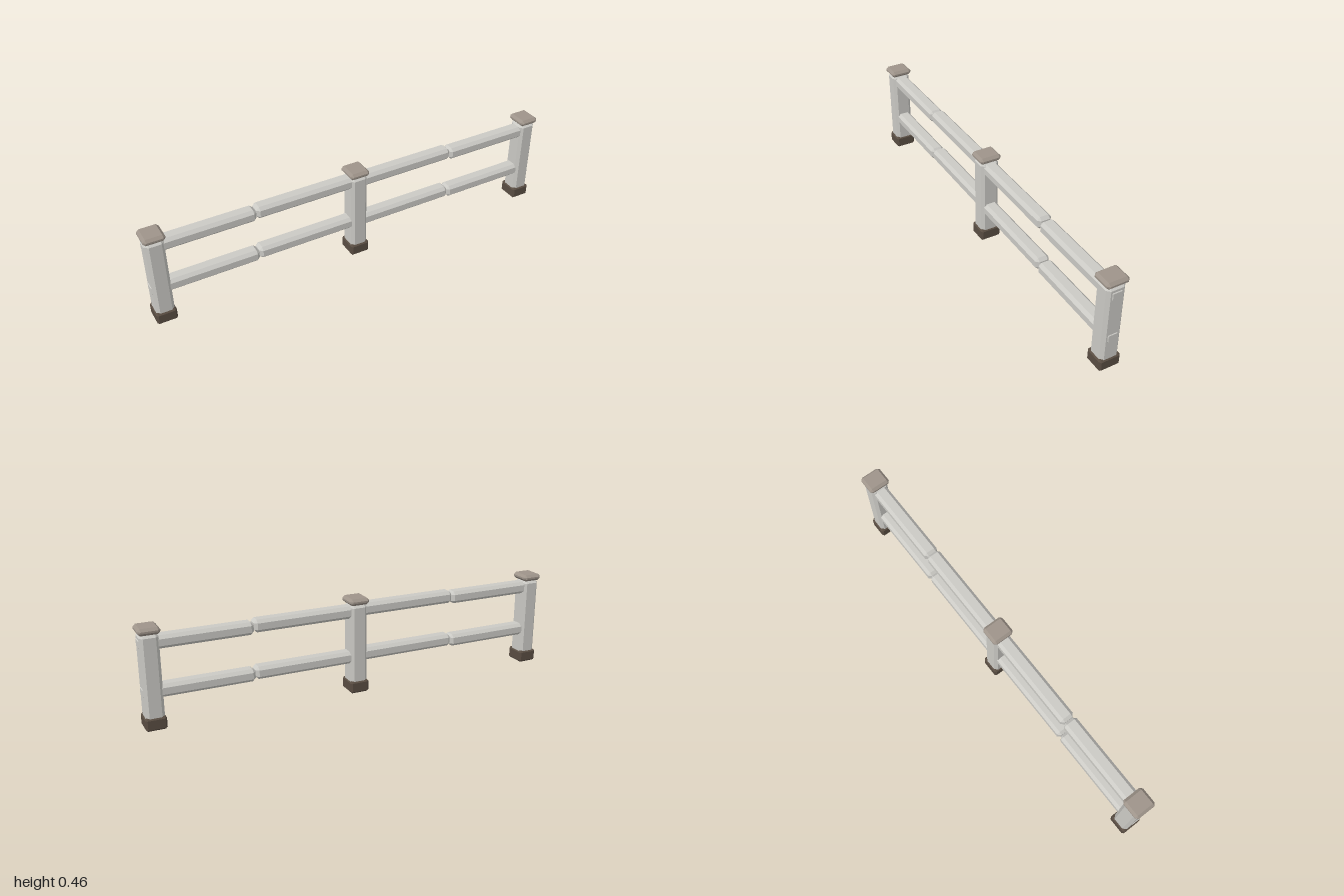
import * as THREE from 'three';
import { ConvexGeometry } from 'three/addons/geometries/ConvexGeometry.js';

// Box of half sizes hx, hy, hz with every edge and corner cut flat by c
function chamferedBox(hx, hy, hz, c) {
  const points = [];
  for (const x of [-1, 1]) for (const y of [-1, 1]) for (const z of [-1, 1]) {
    points.push(
      new THREE.Vector3(x * hx, y * (hy - c), z * (hz - c)),
      new THREE.Vector3(x * (hx - c), y * hy, z * (hz - c)),
      new THREE.Vector3(x * (hx - c), y * (hy - c), z * hz)
    );
  }
  return new ConvexGeometry(points);
}

function material(name, color) {
  const m = new THREE.MeshStandardMaterial({ color });
  m.name = name;
  return m;
}

export function createModel() {
  const group = new THREE.Group();
  group.name = 'fence';

  const paint = material('pale grey paint', 0xcbcac5);
  const capStone = material('warm grey cap', 0x9e948a);
  const baseBrown = material('dark brown base', 0x594d42);

  function add(parent, name, geometry, mat, x, y, z = 0) {
    const mesh = new THREE.Mesh(geometry, mat);
    mesh.name = name;
    mesh.position.set(x, y, z);
    parent.add(mesh);
  }

  // Three posts, each with a foot and a cap
  const postGeo = chamferedBox(0.041, 0.2115, 0.044, 0.014);
  const baseGeo = chamferedBox(0.046, 0.029, 0.05, 0.008);
  const capGeo = chamferedBox(0.048, 0.0155, 0.0525, 0.0115);
  [['rightPost', -0.952], ['middlePost', 0], ['leftPost', 0.952]].forEach(([name, x]) => {
    const post = new THREE.Group();
    post.name = name;
    post.position.x = x;
    add(post, 'postShaft', postGeo, paint, 0, 0.2135);
    add(post, 'postBase', baseGeo, baseBrown, 0, 0.029);
    add(post, 'postCap', capGeo, capStone, 0, 0.4395);
    group.add(post);
  });

  // Two rows of four rail pieces, slightly uneven in height;
  // the outer tips show through the end posts
  const railGeo = chamferedBox(0.249, 0.029, 0.034, 0.014);
  const rows = {
    upperRail: [0.389, 0.395, 0.389, 0.382],
    lowerRail: [0.172, 0.178, 0.172, 0.166]
  };
  for (const [name, heights] of Object.entries(rows)) {
    heights.forEach((y, i) => add(group, name + (i + 1), railGeo, paint, (i - 1.5) * 0.498, y));
  }

  return group;
}
